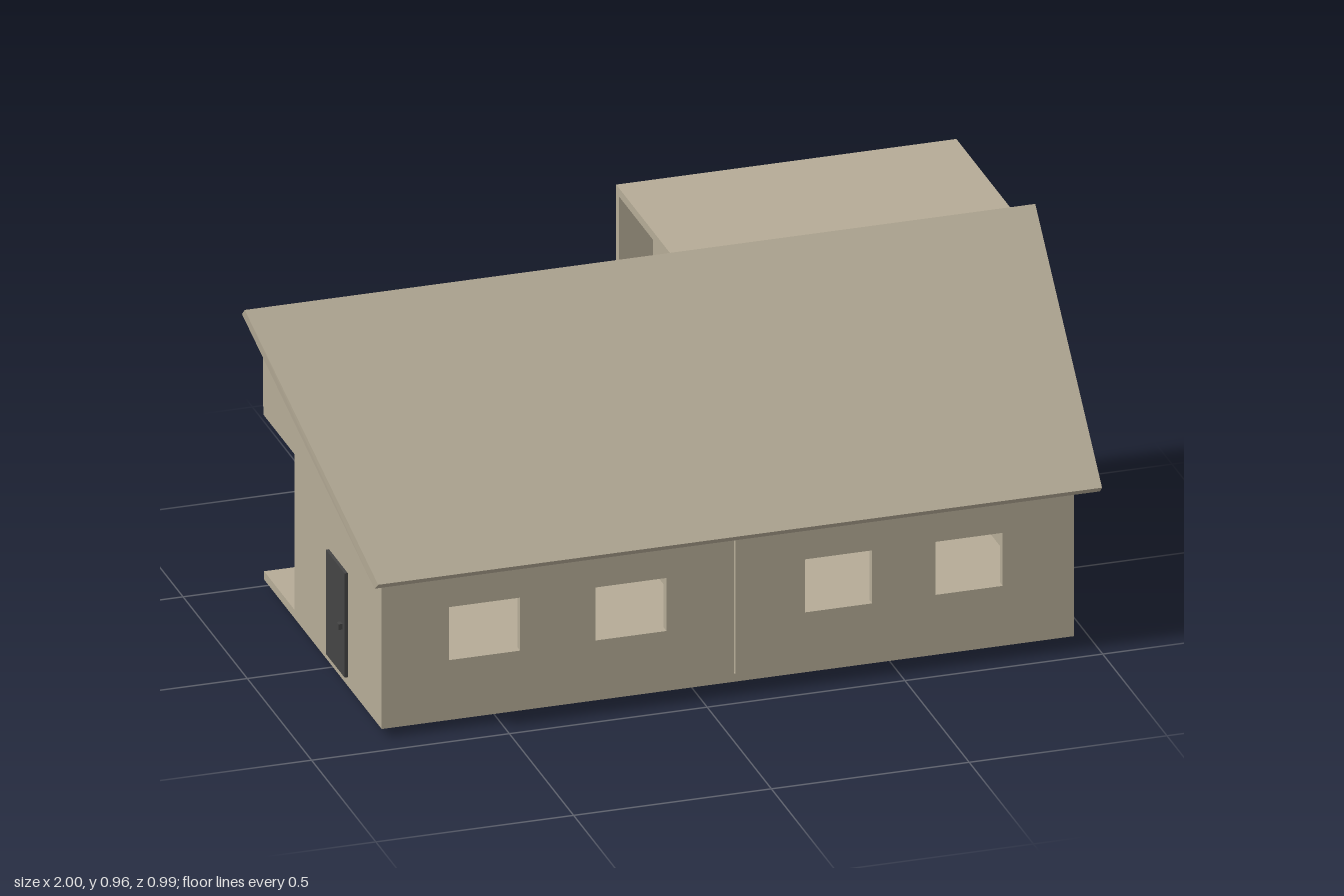
import * as THREE from 'three';

const plaster = new THREE.MeshStandardMaterial({ color: 0xb5ab96, flatShading: true, side: THREE.DoubleSide });
const wood = new THREE.MeshStandardMaterial({ color: 0x5f3d12 });
const dark = new THREE.MeshStandardMaterial({ color: 0x444444 });

const FLOOR = 0.022, STOREY = 0.455, EAVE = 0.47, TOP = 0.94;
const LEFT = 0.95, RIGHT = -0.8, SPLIT = 0.09, FRONT = 0.43, BACK = -0.485, T = 0.022;

export function createModel() {
  const house = new THREE.Group();
  house.name = 'house';

  const add = (name, geometry, material = plaster) => {
    const mesh = new THREE.Mesh(geometry, material);
    mesh.name = name;
    house.add(mesh);
    return mesh;
  };

  // Box given by its limits on each axis
  const box = (name, [x0, x1], [y0, y1], [z0, z1], material) => {
    const mesh = add(name, new THREE.BoxGeometry(x1 - x0, y1 - y0, z1 - z0), material);
    mesh.position.set((x0 + x1) / 2, (y0 + y1) / 2, (z0 + z1) / 2);
    return mesh;
  };

  const rectPath = ([a0, a1], [b0, b1]) => new THREE.Path(
    [[a0, b0], [a0, b1], [a1, b1], [a1, b0]].map(([a, b]) => new THREE.Vector2(a, b)));

  // Wall facing z, with rectangular windows
  const longWall = (name, [x0, x1], [y0, y1], z, windows = []) => {
    const shape = new THREE.Shape([[x0, y0], [x1, y0], [x1, y1], [x0, y1]].map(([x, y]) => new THREE.Vector2(x, y)));
    windows.forEach((w) => shape.holes.push(rectPath(w, [0.18, 0.32])));
    add(name, new THREE.ExtrudeGeometry(shape, { depth: T, bevelEnabled: false })).position.z = z;
  };

  // Wall facing x, outlined by [z, y] points
  const crossWall = (name, x, outline, opening) => {
    const shape = new THREE.Shape(outline.map(([z, y]) => new THREE.Vector2(-z, y)));
    if (opening) shape.holes.push(rectPath(opening[0].map((z) => -z), opening[1]));
    const mesh = add(name, new THREE.ExtrudeGeometry(shape, { depth: T, bevelEnabled: false }));
    mesh.rotation.y = Math.PI / 2;
    mesh.position.x = x;
  };

  // Floors and flat roof
  box('groundSlab', [RIGHT, LEFT], [FLOOR, FLOOR + T], [BACK, FRONT]);
  box('upperFloor', [RIGHT + 0.004, LEFT - 0.004], [STOREY, 0.478], [BACK + 0.004, FRONT - 0.012]);
  box('flatRoof', [SPLIT, LEFT], [TOP - T, TOP], [BACK, -0.04]);

  // Long walls
  const rightWindows = [[-0.63, -0.45], [-0.26, -0.08]];
  longWall('frontWallRight', [RIGHT, SPLIT], [FLOOR, EAVE], FRONT - T, rightWindows);
  longWall('frontWallLeft', [SPLIT + 0.004, LEFT], [FLOOR, EAVE], FRONT - T, [[0.27, 0.44], [0.6, 0.77]]);
  longWall('patioWall', [RIGHT, SPLIT], [FLOOR, STOREY], -0.25, rightWindows);
  longWall('backWall', [SPLIT, LEFT], [FLOOR, TOP], BACK);
  longWall('balconyRearWall', [RIGHT + T, SPLIT], [0.478, TOP], -0.05);

  // End walls and the divider between the two halves
  crossWall('leftGable', LEFT - T,
    [[FRONT, FLOOR], [FRONT, EAVE], [-0.04, TOP], [BACK, TOP], [BACK, FLOOR]]);
  crossWall('rightGable', RIGHT,
    [[FRONT, FLOOR], [FRONT, EAVE], [-0.03, 0.93], [-0.05, 0.93], [-0.05, 0.65], [BACK, 0.65],
      [BACK, STOREY], [-0.25, STOREY], [-0.25, FLOOR]]);
  crossWall('dividerWall', SPLIT,
    [[FRONT - T, FLOOR], [FRONT - T, EAVE], [-0.04, TOP], [BACK, TOP], [BACK, FLOOR]],
    [[-0.465, -0.2], [0.478, 0.918]]);

  // Balcony parapet, leaning out slightly
  box('balconyParapet', [RIGHT, SPLIT + 0.01], [STOREY, 0.65], [-0.494, -0.476]).rotation.x = -0.03;

  // Sloping roof: swept along x, right end slanted inwards towards the eave
  const section = [[-0.025, 0.96], [0.495, 0.435], [0.478, 0.418], [-0.042, 0.942]];
  const roofShape = new THREE.Shape(section.map(([z, y]) => new THREE.Vector2(-z, y)));
  const roof = new THREE.ExtrudeGeometry(roofShape, { depth: 2, bevelEnabled: false });
  roof.rotateY(Math.PI / 2).translate(-1, 0, 0);
  const p = roof.attributes.position;
  for (let i = 0; i < p.count; i++) {
    if (p.getX(i) < 0) p.setX(i, -1 + 0.17 * THREE.MathUtils.clamp((p.getZ(i) + 0.03) / 0.52, 0, 1));
  }
  roof.computeVertexNormals();
  add('slopingRoof', roof);

  // Side door with handle
  box('door', [RIGHT - 0.008, RIGHT + 0.004], [0.045, 0.32], [0.02, 0.166], dark);
  box('doorHandle', [RIGHT - 0.018, RIGHT - 0.006], [0.165, 0.18], [0.135, 0.15], dark);

  // Poles leaning on the patio wall
  const poles = [
    [[0.03, 0.0, -0.25], [0.08, 0.32, -0.26]],
    [[0.03, 0.035, -0.34], [0.08, 0.36, -0.38]],
    [[-0.02, 0.035, -0.36], [0.07, 0.36, -0.35]],
  ];
  poles.forEach(([a, b]) => {
    const start = new THREE.Vector3(...a), end = new THREE.Vector3(...b);
    const dir = end.clone().sub(start);
    const pole = add('leaningPole', new THREE.CylinderGeometry(0.013, 0.013, dir.length(), 10), wood);
    pole.position.copy(start).add(end).multiplyScalar(0.5);
    pole.quaternion.setFromUnitVectors(new THREE.Vector3(0, 1, 0), dir.normalize());
  });

  // Interior stair
  const steps = 8;
  for (let i = 0; i < steps; i++) {
    const x = 0.88 - i * 0.06, y = 0.085 + i * 0.047;
    box('stairTread', [x - 0.06, x + 0.01], [y - 0.012, y], [-0.44, -0.14]);
  }
  for (const z of [-0.45, -0.14]) {
    const stringer = box('stairStringer', [0.37, 0.95], [0.235, 0.26], [z, z + 0.012]);
    stringer.rotation.z = -Math.atan2(0.047, 0.06);
  }

  // Small feet under the slab
  for (const x of [0.8, 0.9]) {
    for (const z of [-0.117, -0.465]) {
      box('foot', [x - 0.015, x + 0.015], [0.01, FLOOR + 0.005], [z - 0.01, z + 0.01]);
    }
  }

  return house;
}
